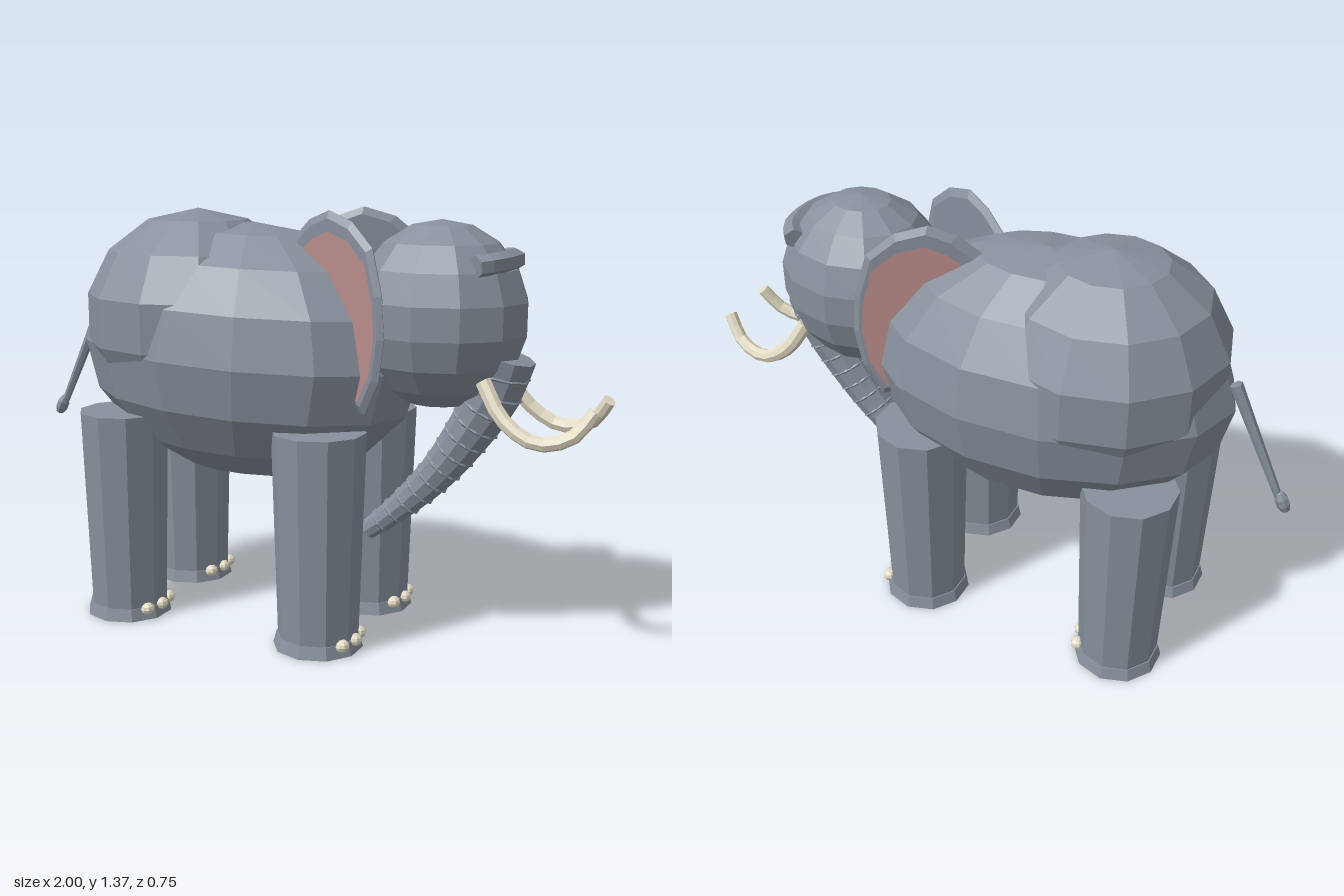
import * as THREE from 'three';

const mat = (name, color) => {
  const m = new THREE.MeshStandardMaterial({ color });
  m.name = name;
  m.flatShading = true;
  return m;
};

export function createModel() {
  const skin = mat('grey skin', 0x87909c);
  const pink = mat('inner ear pink', 0xb98c8a);
  const ivory = mat('ivory', 0xe4dcc4);
  pink.side = THREE.DoubleSide;

  const model = new THREE.Group();
  model.name = 'elephant';
  const v = (p) => new THREE.Vector3(...p);
  const add = (name, geo, material, pos = [0, 0, 0]) => {
    const mesh = new THREE.Mesh(geo, material);
    mesh.name = name;
    mesh.position.set(...pos);
    model.add(mesh);
    return mesh;
  };
  const ball = (name, material, pos, size, w, h) =>
    add(name, new THREE.SphereGeometry(1, w, h).scale(...size), material, pos);

  // Tube with a linear taper and closed ends
  const taperTube = (points, r0, r1, steps, sides) => {
    const curve = new THREE.CatmullRomCurve3(points.map(v));
    const geo = new THREE.TubeGeometry(curve, steps, 1, sides);
    const pos = geo.attributes.position;
    const index = [...geo.index.array];
    const row = sides + 1;
    const c = new THREE.Vector3(), p = new THREE.Vector3();
    const out = [];
    for (let i = 0; i <= steps; i++) {
      curve.getPointAt(i / steps, c);
      for (let j = 0; j < row; j++) {
        p.fromBufferAttribute(pos, i * row + j).sub(c);
        p.multiplyScalar(r0 + (r1 - r0) * i / steps).add(c);
        out.push(p.x, p.y, p.z);
      }
    }
    const last = steps * row;
    for (let j = 1; j < sides - 1; j++) {
      index.push(0, j, j + 1, last, last + j + 1, last + j);
    }
    const result = new THREE.BufferGeometry();
    result.setAttribute('position', new THREE.Float32BufferAttribute(out, 3));
    result.setIndex(index);
    result.computeVertexNormals();
    // Orient the caps outward whichever way the frame runs
    const capStart = sides * steps * 6;
    const a = new THREE.Vector3(), b = new THREE.Vector3();
    const at = (k, t) => t.fromBufferAttribute(result.attributes.position, k);
    const o = at(0, new THREE.Vector3());
    at(1, a).sub(o);
    at(2, b).sub(o);
    if (a.cross(b).dot(curve.getTangentAt(0)) > 0) {
      for (let k = capStart; k < index.length; k += 3) {
        [index[k + 1], index[k + 2]] = [index[k + 2], index[k + 1]];
      }
      result.setIndex(index);
    }
    return { geo: result, curve };
  };

  // Body, rump and head
  ball('body', skin, [-0.195, 0.9, 0], [0.605, 0.42, 0.385], 14, 8).rotation.z = -0.035;
  ball('rump', skin, [-0.39, 1.0, 0], [0.385, 0.36, 0.375], 12, 7);
  ball('head', skin, [0.465, 1.055, 0], [0.28, 0.29, 0.252], 12, 9);

  // Brow ridge wrapped around the forehead
  add('brow', taperTube([[0.625, 1.22, 0.15], [0.665, 1.225, 0.1], [0.68, 1.228, 0],
    [0.665, 1.225, -0.1], [0.625, 1.22, -0.15]], 0.034, 0.034, 8, 6).geo, skin);

  // Trunk with wrinkle rings
  const trunk = taperTube([[0.675, 0.945, 0], [0.64, 0.82, 0], [0.56, 0.68, 0], [0.47, 0.555, 0],
    [0.37, 0.45, 0], [0.28, 0.37, 0], [0.235, 0.335, 0]], 0.097, 0.034, 12, 10);
  add('trunk', trunk.geo, skin);
  for (let i = 1; i < 13; i++) {
    const t = i / 13;
    const ring = add('trunkRing', new THREE.TorusGeometry(0.097 - 0.063 * t, 0.005, 4, 10), skin);
    ring.position.copy(trunk.curve.getPointAt(t));
    ring.quaternion.setFromUnitVectors(new THREE.Vector3(0, 0, 1), trunk.curve.getTangentAt(t));
  }

  // Tail and tuft
  add('tail', taperTube([[-0.79, 1.015, 0], [-0.87, 0.85, 0], [-0.97, 0.645, 0]],
    0.02, 0.012, 4, 6).geo, skin);
  ball('tailTuft', skin, [-0.98, 0.64, 0], [0.022, 0.04, 0.022], 7, 5).rotation.z = -0.45;

  // Ear outline in side view, slanted so the front edge flares outward
  const outline = [[0.3, 0.76], [0.355, 0.87], [0.375, 1.0], [0.364, 1.13], [0.326, 1.267],
    [0.245, 1.34], [0.15, 1.37], [0.07, 1.34], [0, 1.28], [-0.03, 1.15], [0.02, 0.98], [0.15, 0.82]];
  const earShape = (s, dy) => new THREE.Shape(outline.map(([x, y]) =>
    new THREE.Vector2(0.185 + (x - 0.185) * s, 1.06 + dy + (y - 1.06) * s)));
  const slant = (geo, side, offset) => {
    const p = geo.attributes.position;
    for (let i = 0; i < p.count; i++) {
      p.setZ(i, side * (p.getZ(i) + offset + 0.07 + 0.42 * p.getX(i)));
    }
    if (side < 0) {
      // Mirroring turns the faces over, so swap two corners of each
      if (!geo.index) geo.setIndex([...Array(p.count).keys()]);
      const a = geo.index.array;
      for (let i = 0; i < a.length; i += 3) [a[i], a[i + 1]] = [a[i + 1], a[i]];
    }
    geo.computeVertexNormals();
    return geo;
  };

  for (const side of [1, -1]) {
    const label = side > 0 ? 'near' : 'far';
    const ear = new THREE.ExtrudeGeometry(earShape(1, 0), {
      depth: 0.004, bevelEnabled: true, bevelThickness: 0.014, bevelSize: 0.022,
      bevelOffset: -0.022, bevelSegments: 1,
    });
    add(label + 'Ear', slant(ear, side, -0.002), skin);
    add(label + 'InnerEar', slant(new THREE.ShapeGeometry(earShape(0.83, -0.01)), side, 0.019), pink);

    // Tusk
    add(label + 'Tusk', taperTube([[0.645, 0.88, 0.112], [0.715, 0.775, 0.135], [0.82, 0.715, 0.14],
      [0.92, 0.74, 0.12], [0.975, 0.815, 0.095]].map(([x, y, z]) => [x, y, z * side]),
    0.025, 0.021, 10, 8).geo, ivory);

    // Legs, feet and toenails
    for (const x of [0.155, -0.565]) {
      const z = 0.212 * side;
      const name = label + (x > 0 ? 'Front' : 'Rear');
      add(name + 'Leg', new THREE.CylinderGeometry(0.15, 0.13, 0.67, 10), skin, [x, 0.365, z]);
      add(name + 'Foot', new THREE.CylinderGeometry(0.134, 0.145, 0.04, 10), skin, [x, 0.02, z]);
      for (const k of [-1, 0, 1]) {
        ball(name + 'Toenail', ivory, [x + 0.13 - 0.014 * k * k, 0.037, z + k * 0.065],
          [0.022, 0.02, 0.026], 8, 6);
      }
    }
  }
  return model;
}
